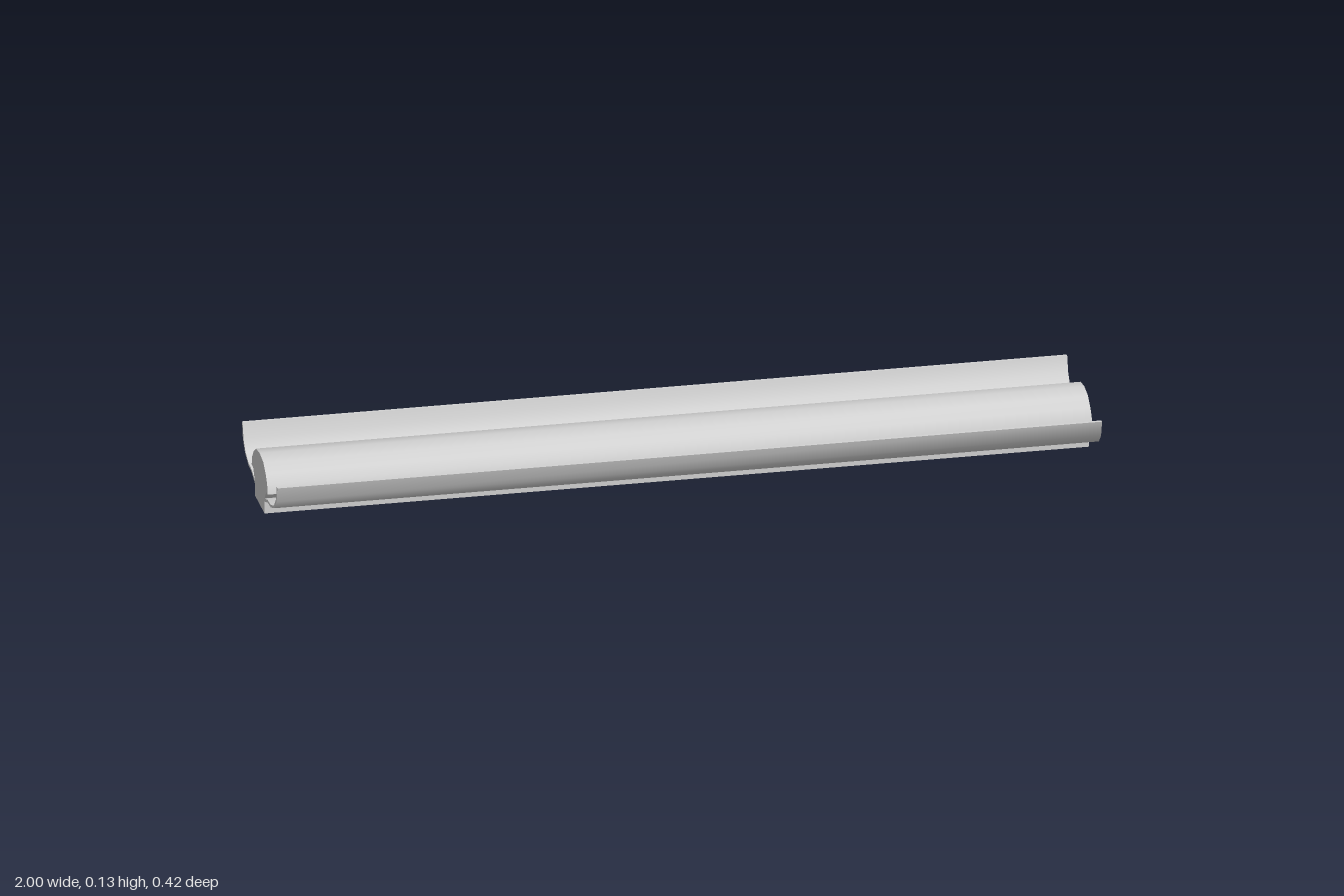
import * as THREE from 'three';
import { toCreasedNormals } from 'three/addons/utils/BufferGeometryUtils.js';

const LENGTH = 2;

// Sweep a closed [z, y] profile along x, smoothing only the shallow bends
function sweep(name, points, material) {
  const shape = new THREE.Shape(points.map(([z, y]) => new THREE.Vector2(-z, y)));
  const geometry = new THREE.ExtrudeGeometry(shape, { depth: LENGTH, bevelEnabled: false });
  geometry.translate(0, 0, -LENGTH / 2).rotateY(Math.PI / 2);
  const mesh = new THREE.Mesh(toCreasedNormals(geometry, 0.6), material);
  mesh.name = name;
  return mesh;
}

const mirror = (points) => points.map(([z, y]) => [-z, y]);

export function createModel() {
  const lightGrey = new THREE.MeshStandardMaterial({ color: 0xd2d2d2 });
  lightGrey.name = 'lightGrey';

  const model = new THREE.Group();
  model.name = 'troughLightFitting';

  // Base rail, flared neck and domed cover in one profile
  const half = [
    [0.057, 0], [0.057, 0.039], [0.077, 0.064], [0.094, 0.064],
    [0.088, 0.087], [0.071, 0.107], [0.043, 0.126],
  ];
  const body = [...half, [0, 0.132], ...mirror(half).reverse()];
  model.add(sweep('domedRail', body, lightGrey));

  // Thin curved reflector wings on both sides
  const outer = [
    [0.057, 0.031], [0.094, 0.0437], [0.131, 0.0464],
    [0.172, 0.0616], [0.197, 0.088], [0.208, 0.1275],
  ];
  const inner = [
    [0.2, 0.1275], [0.189, 0.09], [0.167, 0.066],
    [0.13, 0.0525], [0.092, 0.05], [0.057, 0.0385],
  ];
  const wing = [...outer, ...inner];
  model.add(sweep('frontReflector', wing, lightGrey));
  model.add(sweep('backReflector', mirror(wing), lightGrey));

  return model;
}
